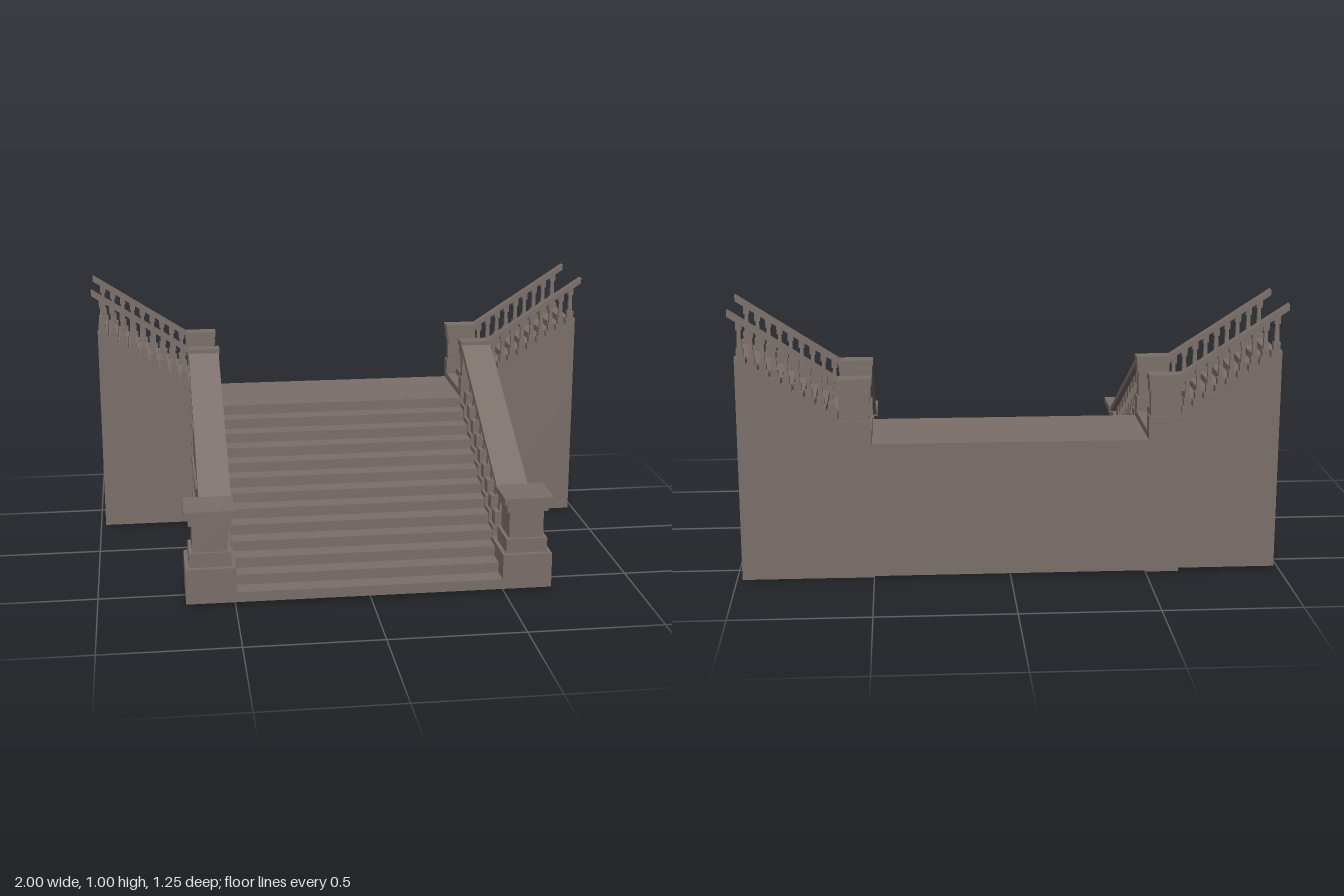
import * as THREE from 'three';

export function createModel() {
  const root = new THREE.Group();
  root.name = 'grandStaircase';
  const stone = new THREE.MeshStandardMaterial({ color: 0x7a6e69 });
  stone.name = 'brownStone';

  const add = (name, geometry, parent = root) => {
    const m = new THREE.Mesh(geometry, stone);
    m.name = name;
    parent.add(m);
    return m;
  };
  // box from opposite corners; s mirrors x
  const box = (name, s, x0, x1, y0, y1, z0, z1, parent) => {
    const g = new THREE.BoxGeometry(x1 - x0, y1 - y0, z1 - z0);
    g.translate((s * (x0 + x1)) / 2, (y0 + y1) / 2, (z0 + z1) / 2);
    return add(name, g, parent);
  };
  const extrude = (pts, depth) => new THREE.ExtrudeGeometry(
    new THREE.Shape(pts.map(p => new THREE.Vector2(p[0], p[1]))),
    { depth, bevelEnabled: false });
  // profile in (x, y), swept from z0 to z1
  const alongZ = (name, s, pts, z0, z1, parent) => {
    const g = extrude(pts.map(([x, y]) => [s * x, y]), z1 - z0);
    g.translate(0, 0, z0);
    return add(name, g, parent);
  };
  // profile in (z, y), swept from x0 to x1
  const alongX = (name, s, pts, x0, x1, parent) => {
    const g = extrude(pts.map(([z, y]) => [-z, y]), x1 - x0);
    g.rotateY(Math.PI / 2);
    g.translate(s > 0 ? x0 : -x1, 0, 0);
    return add(name, g, parent);
  };
  // stepped line of n steps: riser then tread
  const steps = (u, y, du, dy, n) => {
    const pts = [[u, y]];
    for (let i = 0; i < n; i++) {
      pts.push([u + du * i, y + dy * (i + 1)], [u + du * (i + 1), y + dy * (i + 1)]);
    }
    return pts;
  };
  // square baluster: plinth, tapered shaft, top block
  const baluster = (s, x, z, y0, y1, wx, wz, plinth, top) => {
    const g = new THREE.Group();
    g.name = 'baluster';
    root.add(g);
    const part = (name, k, a, b) => box(name, s, x - wx * k, x + wx * k, a, b, z - wz * k, z + wz * k, g);
    part('balusterPlinth', 0.5, y0, y0 + plinth);
    const h = y1 - top - y0 - plinth;
    const shaft = new THREE.CylinderGeometry(0.24 * Math.SQRT2, 0.32 * Math.SQRT2, h, 4, 1, true).toNonIndexed();
    shaft.rotateY(Math.PI / 4);
    shaft.scale(wx, 1, wz);
    shaft.computeVertexNormals();
    shaft.translate(s * x, y0 + plinth + h / 2, z);
    add('balusterShaft', shaft, g);
    part('balusterTop', 0.42, y1 - top, y1);
  };

  // Central flight and landing
  const tread = 0.88 / 12, riser = 0.5 / 13;
  const flight = steps(0.62, 0.01, -tread, riser, 12);
  alongX('centralSteps', 1, [...flight, [-0.26, 0.51], [-0.62, 0.51], [-0.62, 0.01]], -0.5, 0.5);

  for (const s of [1, -1]) {
    // Stepped side wall of the central flight
    const wall = steps(0.407, 0.142, -0.0735, 0.0388, 9);
    alongX('centralSideWall', s, [[0.407, 0.01], ...wall, [-0.26, 0.01]], 0.5, 0.612);
    for (const [y, z] of [[0.125, 0.407], [0.28, 0.115], [0.435, -0.175]]) {
      box('wallBand', s, 0.61, 0.62, y, y + 0.02, -0.26, z);
    }

    // Newel post at the foot
    const newel = new THREE.Group();
    newel.name = 'newelPost';
    root.add(newel);
    box('newelBase', s, 0.495, 0.68, 0.01, 0.143, 0.407, 0.62, newel);
    box('newelPlinth', s, 0.51, 0.665, 0.143, 0.197, 0.447, 0.598, newel);
    box('newelShaft', s, 0.523, 0.652, 0.197, 0.302, 0.452, 0.585, newel);
    box('newelNeck', s, 0.51, 0.665, 0.302, 0.34, 0.447, 0.598, newel);
    box('newelCap', s, 0.495, 0.68, 0.34, 0.363, 0.445, 0.622, newel);

    // Handrail and balusters of the central flight
    alongX('centralRail', s, [[0.45, 0.343], [0.45, 0.363], [-0.265, 0.74], [-0.265, 0.712]], 0.5, 0.62);
    for (let i = 0; i < 9; i++) {
      const z = 0.37 - 0.0731 * i, y = 0.18 + 0.0388 * i;
      baluster(s, 0.56, z, y, 0.392 + 0.0382 * i, 0.1, 0.052, 0.055, 0.05);
    }

    // Lower block carrying the side flight
    const floor = s > 0 ? 0 : 0.012;
    box('sideBlock', s, 0.62, 0.98, floor, 0.507, -0.605, -0.275);
    box('pierBlock', s, 0.5, 0.62, 0.005, 0.51, -0.62, -0.26);

    // Corner piers, stringers, rails and balusters, front and back
    for (const [out, inn, w0, w1] of [[-0.26, -0.31, -0.275, -0.305], [-0.62, -0.57, -0.605, -0.575]]) {
      const d = Math.sign(out - inn) * 0.006;
      const pier = new THREE.Group();
      pier.name = 'cornerPier';
      root.add(pier);
      const slab = (name, x0, x1, y0, y1, a, b) =>
        box(name, s, x0, x1, y0, y1, Math.min(a, b), Math.max(a, b), pier);
      slab('pierBase', 0.5, 0.622, 0.51, 0.595, out, inn);
      slab('pierShaft', 0.506, 0.616, 0.595, 0.69, out - d, inn + d);
      slab('pierNeck', 0.5, 0.622, 0.69, 0.728, out, inn);
      slab('pierCap', 0.496, 0.626, 0.728, 0.75, out + d, inn - d);

      const z0 = Math.min(w0, w1), z1 = Math.max(w0, w1);
      const top = steps(0.62, 0.602, 0.04, 0.0254, 9);
      alongZ('sideStringer', s, [[0.62, 0.507], ...top, [0.98, 0.507]], z0, z1);
      alongZ('sideRail', s, [[0.615, 0.73], [0.615, 0.75], [1, 1], [1, 0.978]], z0 - 0.002, z1 + 0.002);
      for (let i = 0; i < 9; i++) {
        const x = 0.64 + 0.04 * i;
        baluster(s, x, (z0 + z1) / 2, 0.627 + 0.0254 * i, 0.748 + 0.026 * i, 0.026, 0.026, 0.03, 0.028);
      }
    }

    // Side flight, a thin folded slab of steps open underneath
    const upper = steps(0.5, 0.51, 0.04, 0.0254, 12);
    const under = upper.map(([x, y]) => [x + 0.006, y - 0.006]).reverse();
    under[0][0] = 0.98;
    alongZ('sideSteps', s, [...upper, ...under], -0.575, -0.305);
  }
  return root;
}
